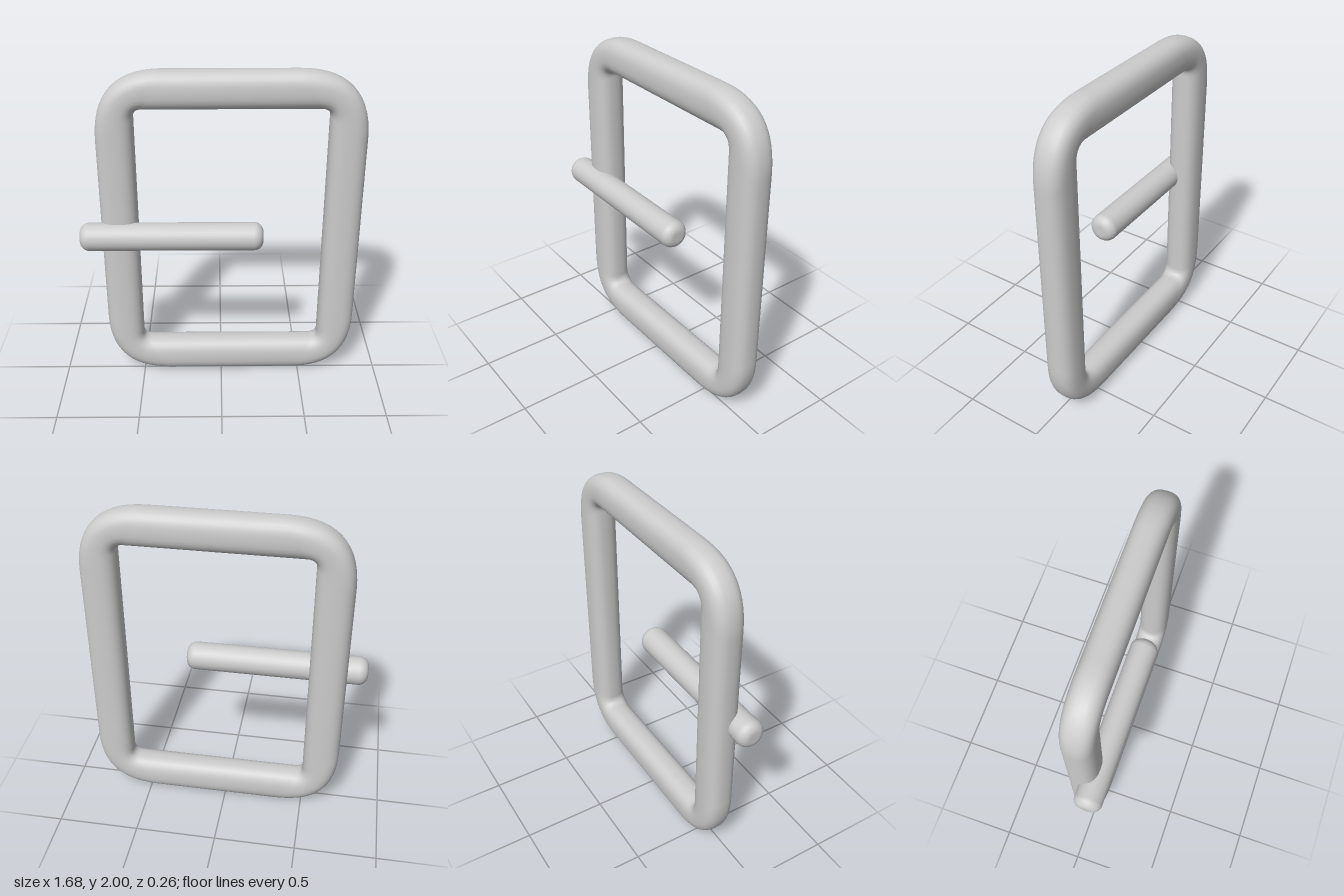
import * as THREE from 'three';

// Closed rectangular outline with softened corners, counter-clockwise seen from +z
function softRectangle(halfW, halfH, soft, steps) {
  const points = [];
  const corners = [[1, 1], [-1, 1], [-1, -1], [1, -1]];
  corners.forEach(([sx, sy], i) => {
    const corner = new THREE.Vector2(sx * halfW, sy * halfH);
    const alongY = new THREE.Vector2(sx * halfW, sy * (halfH - soft));
    const alongX = new THREE.Vector2(sx * (halfW - soft), sy * halfH);
    const [a, b] = i % 2 === 0 ? [alongY, alongX] : [alongX, alongY];
    points.push(...new THREE.QuadraticBezierCurve(a, corner, b).getPoints(steps));
  });
  return points;
}

// Rounded bar swept between an inner and an outer outline
function frameGeometry() {
  const outer = softRectangle(0.78, 0.998, 0.4, 14);
  const inner = softRectangle(0.557, 0.775, 0.05, 14);
  const n = outer.length, sides = 28, depth = 0.095;
  const power = (v) => Math.sign(v) * Math.abs(v) ** (2 / 2.5);
  const positions = [], index = [];
  for (let i = 0; i < n; i++) {
    for (let j = 0; j < sides; j++) {
      const t = (j / sides) * Math.PI * 2;
      const p = inner[i].clone().lerp(outer[i], 0.5 + 0.5 * power(Math.cos(t)));
      positions.push(p.x, p.y, depth * power(Math.sin(t)));
      const i2 = (i + 1) % n, j2 = (j + 1) % sides;
      const a = i * sides + j, b = i2 * sides + j, c = i2 * sides + j2, d = i * sides + j2;
      index.push(a, b, c, a, c, d);
    }
  }
  const geometry = new THREE.BufferGeometry();
  geometry.setAttribute('position', new THREE.Float32BufferAttribute(positions, 3));
  geometry.setIndex(index);
  geometry.computeVertexNormals();
  return geometry;
}

// Round rod with softened ends, lying along x
function prongGeometry() {
  const half = 0.547, r = 0.085, soft = 0.055;
  const profile = [new THREE.Vector2(0, -half)];
  for (const end of [-1, 1]) {
    for (let k = 0; k <= 8; k++) {
      const t = ((end < 0 ? k : 8 - k) / 8) * Math.PI / 2;
      profile.push(new THREE.Vector2(
        r - soft + soft * Math.sin(t),
        end * (half - soft + soft * Math.cos(t))
      ));
    }
  }
  profile.push(new THREE.Vector2(0, half));
  return new THREE.LatheGeometry(profile, 32).rotateZ(-Math.PI / 2);
}

export function createModel() {
  const metal = new THREE.MeshStandardMaterial({ color: 0xcccccc });
  metal.name = 'light grey metal';
  const group = new THREE.Group();
  group.name = 'buckle';

  const frame = new THREE.Mesh(frameGeometry(), metal);
  frame.name = 'frame';
  frame.position.set(0.06, 1, -0.037);

  const prong = new THREE.Mesh(prongGeometry(), metal);
  prong.name = 'prong';
  prong.position.set(-0.295, 1, 0.045);

  group.add(frame, prong);
  return group;
}
